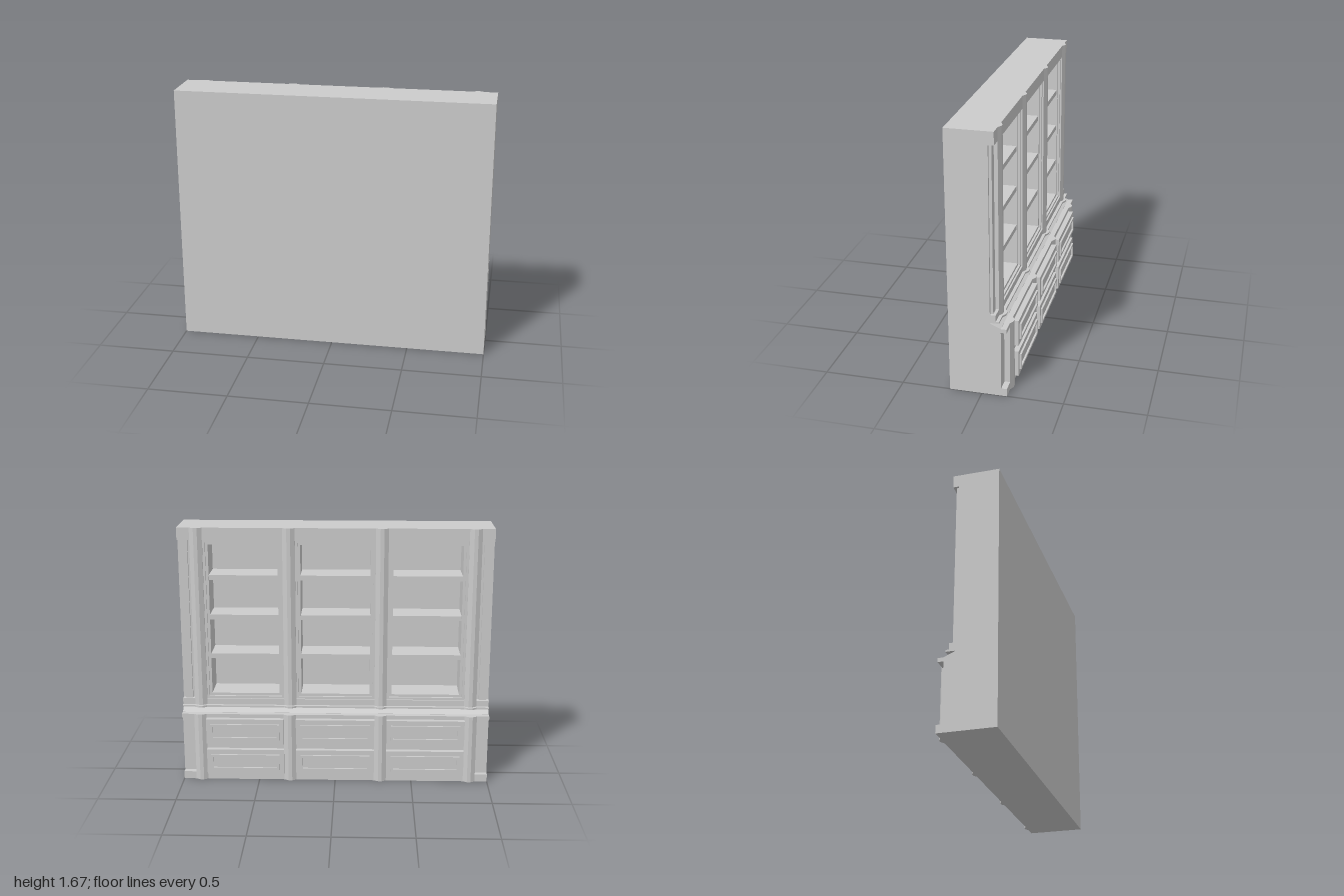
import * as THREE from 'three';

const material = new THREE.MeshStandardMaterial({ color: 0xcccccc });
const BACK = 0.2;            // plain wall side of the case
const PILASTERS = [-0.88, -0.295, 0.295, 0.88];
const BAYS = [[-0.84, -0.335], [-0.255, 0.255], [0.335, 0.84]];

function add(parent, name, geometry) {
  const mesh = new THREE.Mesh(geometry, material);
  mesh.name = name;
  parent.add(mesh);
  return mesh;
}

// Box given by its limits
function box(parent, name, x0, x1, y0, y1, z0, z1) {
  const mesh = add(parent, name, new THREE.BoxGeometry(x1 - x0, y1 - y0, z1 - z0));
  mesh.position.set((x0 + x1) / 2, (y0 + y1) / 2, (z0 + z1) / 2);
}

// Plan extruded upward; its open side swells out at every pilaster
function swelled(parent, name, x0, x1, y0, y1, front, back = BACK) {
  const shape = new THREE.Shape();
  shape.moveTo(x0, -back);
  shape.lineTo(x0, -front);
  for (const c of PILASTERS) {
    if (c < x0 || c > x1) continue;
    for (const [dx, out] of [[-0.04, 0], [-0.012, 0.016], [0.012, 0.016], [0.04, 0]]) {
      shape.lineTo(c + dx, -front + out);
    }
  }
  shape.lineTo(x1, -front);
  shape.lineTo(x1, -back);
  const geometry = new THREE.ExtrudeGeometry(shape, { depth: y1 - y0, bevelEnabled: false });
  geometry.rotateX(-Math.PI / 2);
  geometry.translate(0, y0, 0);
  add(parent, name, geometry);
}

// Rectangular ring with a border of width w, between z0 and z1
function ring(parent, name, x0, x1, y0, y1, w, z0, z1) {
  const rect = (Type, a, b, c, d) => new Type([
    new THREE.Vector2(a, c), new THREE.Vector2(b, c),
    new THREE.Vector2(b, d), new THREE.Vector2(a, d)]);
  const shape = rect(THREE.Shape, x0, x1, y0, y1);
  shape.holes.push(rect(THREE.Path, x0 + w, x1 - w, y0 + w, y1 - w));
  const geometry = new THREE.ExtrudeGeometry(shape, { depth: z1 - z0, bevelEnabled: false });
  geometry.translate(0, 0, z0);
  add(parent, name, geometry);
}

function createUpperCase() {
  const upper = new THREE.Group();
  upper.name = 'upperCase';
  const y0 = 0.54, y1 = 1.59, front = -0.09, inner = 0.13;

  box(upper, 'backPanel', -1, 1, y0, y1, inner, BACK);
  swelled(upper, 'cornice', -1, 1, y1, 1.67, front);
  swelled(upper, 'bottomRail', -1, 1, 0.5, y0, front);

  // Pilasters, each a full-depth divider
  for (const c of PILASTERS) {
    swelled(upper, 'pilaster', c - 0.04, c + 0.04, y0, y1, front, inner);
  }

  // Recessed corners with a raised strip
  for (const s of [-1, 1]) {
    const span = (a, b) => [Math.min(s * a, s * b), Math.max(s * a, s * b)];
    box(upper, 'cornerRecess', ...span(0.92, 1), y0, y1, -0.055, inner);
    box(upper, 'cornerStrip', ...span(0.937, 0.985), y0, y1, -0.072, -0.055);
  }

  // Open bays with stepped lining and shelves
  for (const [a, b] of BAYS) {
    ring(upper, 'bayFrame', a, b, y0, y1, 0.015, -0.08, inner);
    ring(upper, 'bayLining', a + 0.015, b - 0.015, y0 + 0.015, y1 - 0.015, 0.017, -0.066, inner);
    for (const top of [0.84, 1.1, 1.36]) {
      box(upper, 'shelf', a + 0.03, b - 0.03, top - 0.032, top, -0.06, inner);
    }
  }
  return upper;
}

function createCounter() {
  const counter = new THREE.Group();
  counter.name = 'counter';
  swelled(counter, 'ledge', -1, 1, 0.488, 0.5, -0.11);
  // Sloping top: side section extruded across the width
  const section = new THREE.Shape([
    [-BACK, 0.45], [0.12, 0.45], [0.12, 0.456], [0.055, 0.484], [0.055, 0.49], [-BACK, 0.49],
  ].map(([u, y]) => new THREE.Vector2(u, y)));
  const geometry = new THREE.ExtrudeGeometry(section, { depth: 2, bevelEnabled: false });
  geometry.rotateY(Math.PI / 2);
  geometry.translate(-1, 0, 0);
  add(counter, 'slopedTop', geometry);
  return counter;
}

function createLowerCase() {
  const lower = new THREE.Group();
  lower.name = 'lowerCase';
  const front = -0.155;
  swelled(lower, 'plinth', -1, 1, 0, 0.05, front);
  swelled(lower, 'cabinetBody', -0.92, 0.92, 0.05, 0.43, front);
  swelled(lower, 'topRail', -1, 1, 0.43, 0.455, front);
  box(lower, 'cornerRecess', -1, -0.92, 0.05, 0.43, -0.12, BACK);
  box(lower, 'cornerRecess', 0.92, 1, 0.05, 0.43, -0.12, BACK);

  // Two rows of drawers with raised mouldings
  for (const [a, b] of BAYS) {
    for (const y of [0.05, 0.26]) {
      const drawer = new THREE.Group();
      drawer.name = 'drawer';
      box(drawer, 'drawerFront', a, b, y, y + 0.17, -0.188, front);
      ring(drawer, 'drawerMoulding', a + 0.028, b - 0.028, y + 0.032, y + 0.138, 0.016, -0.2, -0.188);
      lower.add(drawer);
    }
  }
  return lower;
}

export function createModel() {
  const model = new THREE.Group();
  model.name = 'bookcase';
  model.add(createLowerCase(), createCounter(), createUpperCase());
  return model;
}
